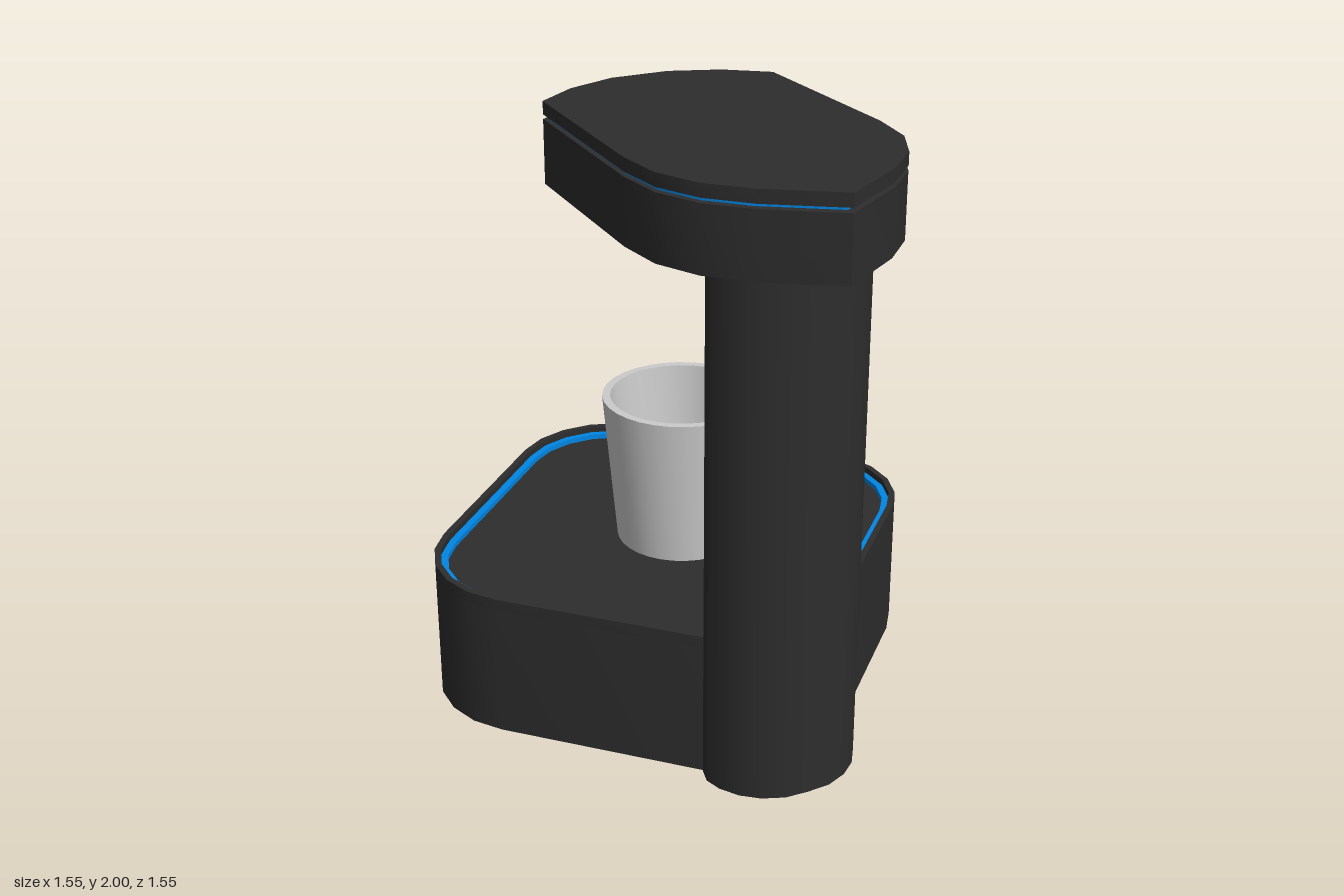
import * as THREE from 'three';
import { toCreasedNormals } from 'three/addons/utils/BufferGeometryUtils.js';

const dark = new THREE.MeshStandardMaterial({ color: 0x2d2d2d });
const blue = new THREE.MeshStandardMaterial({ color: 0x0086e4 });
const grey = new THREE.MeshStandardMaterial({ color: 0xcccccc });

const toVectors = (pts) => pts.map(([x, z]) => new THREE.Vector2(x, -z));

// Upright slab from a plan outline of [x, z] points, with an optional hole
function slab(name, outline, y0, y1, material, hole) {
  const shape = new THREE.Shape(toVectors(outline));
  if (hole) shape.holes.push(new THREE.Path(toVectors(hole)));
  const geo = new THREE.ExtrudeGeometry(shape, { depth: y1 - y0, bevelEnabled: false });
  geo.rotateX(-Math.PI / 2).translate(0, y0, 0);
  const mesh = new THREE.Mesh(toCreasedNormals(geo, 0.5), material);
  mesh.name = name;
  return mesh;
}

// Rounded square plan, shrunk by an inset, anticlockwise seen from above
function roundedSquare(inset) {
  const core = 0.346, r = 0.35 - inset, c = -0.08, steps = 5, pts = [];
  for (let q = 0; q < 4; q++) {
    const mid = (q + 0.5) * Math.PI / 2;
    for (let i = 0; i <= steps; i++) {
      const a = (q + i / steps) * Math.PI / 2;
      pts.push([
        c + Math.sign(Math.cos(mid)) * core + r * Math.cos(a),
        c - Math.sign(Math.sin(mid)) * core - r * Math.sin(a),
      ]);
    }
  }
  return pts;
}

// Complete a half outline by mirroring it across the x = z diagonal
const mirrorDiagonal = (half) => {
  const other = half.map(([x, z]) => [z, x]).reverse();
  return [...half, ...other.filter(([x, z]) => x !== z)];
};

function createMug() {
  const mug = new THREE.Group();
  mug.name = 'mug';
  // Tapered hollow cup
  const profile = [
    [0, 0], [0.222, 0], [0.267, 0.515], [0.24, 0.515], [0.198, 0.035], [0, 0.035],
  ].map(([r, y]) => new THREE.Vector2(r, y));
  const cup = new THREE.Mesh(
    toCreasedNormals(new THREE.LatheGeometry(profile, 32).toNonIndexed(), 0.5), grey);
  cup.name = 'cup';
  // Looped handle at the back
  const path = new THREE.CatmullRomCurve3([
    [0.395, -0.235], [0.396, -0.32], [0.36, -0.38], [0.27, -0.405],
    [0.185, -0.385], [0.142, -0.325], [0.132, -0.22],
  ].map(([y, z]) => new THREE.Vector3(0, y, z)));
  const handle = new THREE.Mesh(new THREE.TubeGeometry(path, 9, 0.04, 10), grey);
  handle.name = 'handle';
  mug.add(cup, handle);
  mug.position.set(-0.046, 0.45, -0.095);
  return mug;
}

export function createModel() {
  const model = new THREE.Group();
  model.name = 'drinkMachine';

  // Base: sunken tray with a raised rim and a light strip inside it
  const outer = roundedSquare(0), rimInner = roundedSquare(0.021), lightInner = roundedSquare(0.045);
  model.add(
    slab('baseBody', outer, 0, 0.45, dark),
    slab('baseRim', outer, 0.45, 0.49, dark, rimInner),
    slab('baseLight', rimInner, 0.45, 0.468, blue, lightInner),
  );

  // Column: flat inner face, rounded outer corners
  const column = mirrorDiagonal([
    [0.62, 0.272], [0.665, 0.3], [0.693, 0.35], [0.707, 0.42],
    [0.7, 0.49], [0.67, 0.56], [0.618, 0.618],
  ]);
  model.add(slab('column', column, 0, 1.74, dark));

  // Head: two slabs with a recessed light between them
  const outline = mirrorDiagonal([
    [-0.31, -0.17], [-0.17, -0.31], [-0.01, -0.385], [0.157, -0.41], [0.62, 0.03],
    [0.723, 0.16], [0.772, 0.307], [0.772, 0.465], [0.72, 0.72],
  ].slice(1));
  outline.push([-0.31, -0.17].map((v) => v)); 
  outline.pop();
  const inset = outline.map(([x, z]) => [0.18 + (x - 0.18) * 0.96, 0.18 + (z - 0.18) * 0.96]);
  model.add(
    slab('headBody', outline, 1.735, 1.943, dark),
    slab('headLight', inset, 1.943, 1.958, blue),
    slab('headCap', outline, 1.958, 2, dark),
  );

  model.add(createMug());
  return model;
}
